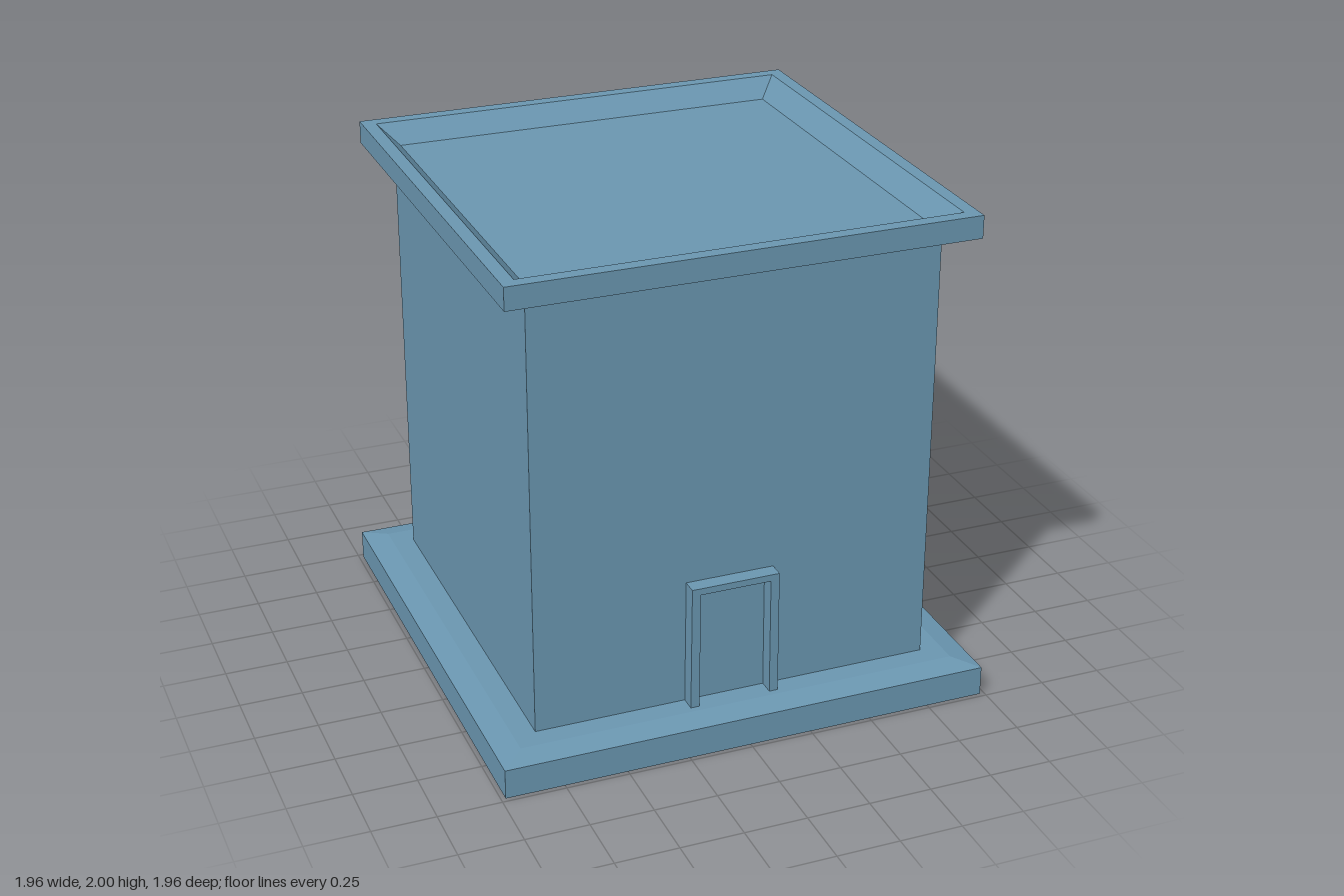
import * as THREE from 'three';

const material = new THREE.MeshStandardMaterial({ color: 0x6a96b0, flatShading: true });

function addMesh(group, name, geometry) {
  const mesh = new THREE.Mesh(geometry, material);
  mesh.name = name;
  group.add(mesh);
  return mesh;
}

// Square solid from a [half width, height] profile, listed from the bottom up
function squareSolid(profile) {
  const points = profile.map(([half, y]) => new THREE.Vector2(half * Math.SQRT2, y));
  const geometry = new THREE.LatheGeometry(points, 4).rotateY(Math.PI / 4).toNonIndexed();
  geometry.computeVertexNormals();
  return geometry;
}

export function createModel() {
  const model = new THREE.Group();
  model.name = 'squareTower';

  // Wide foot with a shallow sloped top
  addMesh(model, 'plinth', squareSolid([
    [0, 0], [0.982, 0], [0.982, 0.12], [0.89, 0.14], [0.8, 0.14],
  ]));

  // Plain walls
  addMesh(model, 'walls', squareSolid([[0.803, 0.14], [0.803, 1.895]]));

  // Overhanging rim around a sunken roof
  addMesh(model, 'roofRim', squareSolid([
    [0.803, 1.895], [0.912, 1.91], [0.912, 2], [0.858, 2], [0.783, 1.925], [0, 1.925],
  ]));

  // Raised door surround, set a little off centre
  const outline = [
    [-0.2, 0.135], [-0.165, 0.135], [-0.162, 0.625], [0.122, 0.625],
    [0.125, 0.135], [0.16, 0.135], [0.157, 0.652], [-0.197, 0.652],
  ];
  const frame = new THREE.Shape(outline.map(([x, y]) => new THREE.Vector2(x, y)));
  const door = addMesh(model, 'doorFrame',
    new THREE.ExtrudeGeometry(frame, { depth: 0.065, bevelEnabled: false }));
  door.position.z = 0.8;

  return model;
}
